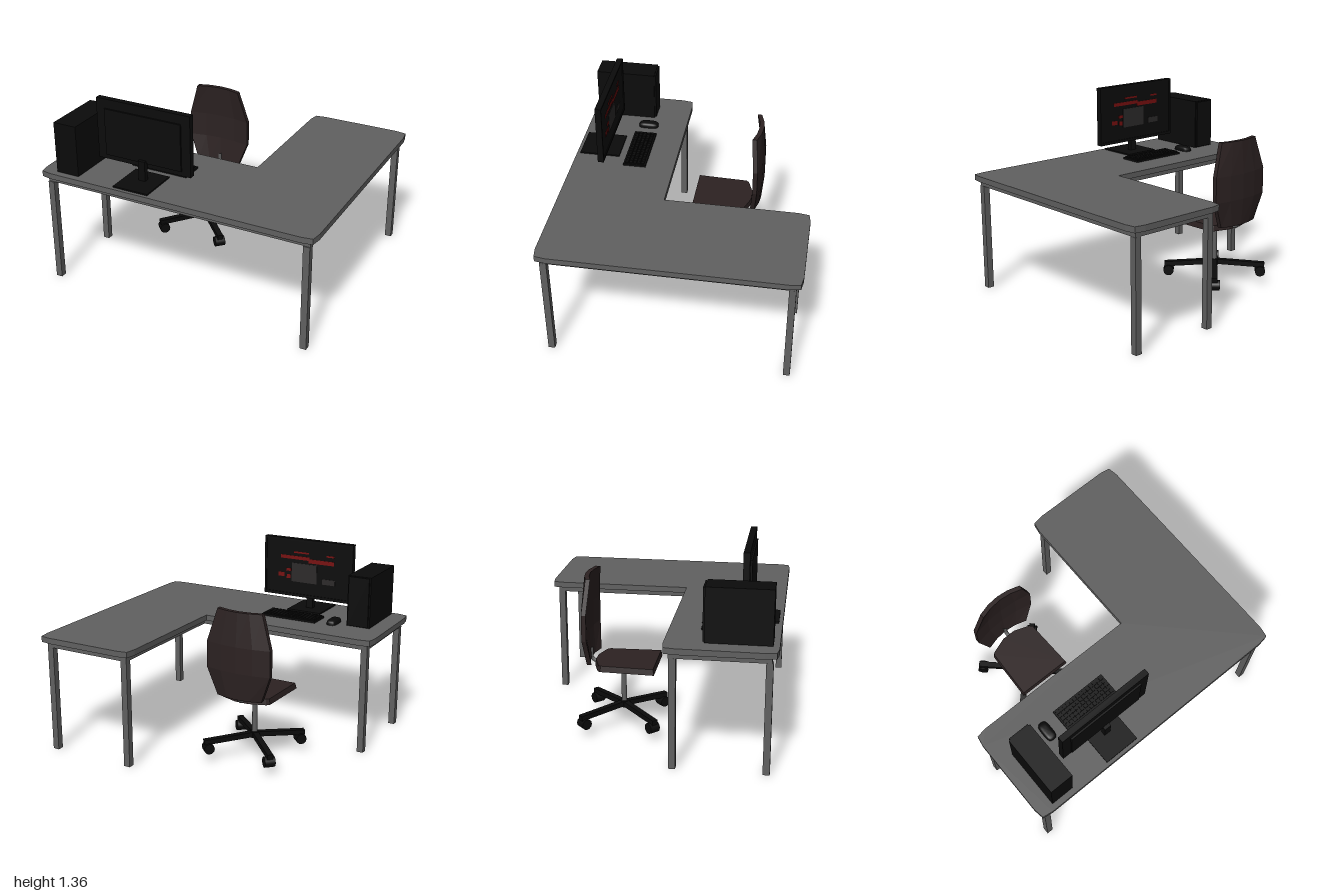
import * as THREE from 'three';

const mat = (name, color) => {
  const m = new THREE.MeshStandardMaterial({ color });
  m.name = name;
  return m;
};

export function createModel() {
  const root = new THREE.Group();
  const grey = mat('deskGrey', 0x606060);
  const black = mat('plasticBlack', 0x0b0b0b);
  const brown = mat('chairBrown', 0x2c2222);
  const red = mat('screenRed', 0x781010);
  const slate = mat('screenSlate', 0x2c2a2a);

  const add = (name, geo, material, parent = root) => {
    const m = new THREE.Mesh(geo, material);
    m.name = name;
    parent.add(m);
    return m;
  };
  // Box given by its minimum and maximum on each axis
  const box = (name, x0, x1, y0, y1, z0, z1, material, parent) => {
    const m = add(name, new THREE.BoxGeometry(x1 - x0, y1 - y0, z1 - z0), material, parent);
    m.position.set((x0 + x1) / 2, (y0 + y1) / 2, (z0 + z1) / 2);
    return m;
  };
  const group = (name) => {
    const g = new THREE.Group();
    g.name = name;
    root.add(g);
    return g;
  };
  // Horizontal slab from an outline in x and z, hanging down from a top height
  const slab = (shape, top, depth) =>
    new THREE.ExtrudeGeometry(shape, { depth, bevelEnabled: false }).rotateX(Math.PI / 2).translate(0, top, 0);

  // L-shaped outline, inset by i; outer corners softened by r
  const outline = (i, r) => {
    const c = [[-1 + i, 0.135 + i], [0.275 + i, 0.135 + i], [0.275 + i, -0.86 + i],
      [1 - i, -0.86 + i], [1 - i, 0.855 - i], [-1 + i, 0.855 - i]].map((p) => new THREE.Vector2(...p));
    const pts = [];
    c.forEach((p, k) => {
      if (k === 1 || !r) return pts.push(p);
      const a = c[(k + 5) % 6].clone().sub(p).normalize();
      const b = c[(k + 1) % 6].clone().sub(p).normalize();
      pts.push(p.clone().addScaledVector(a, r),
        p.clone().addScaledVector(a, r * 0.14).addScaledVector(b, r * 0.14),
        p.clone().addScaledVector(b, r));
    });
    return pts;
  };

  // Desk
  const desk = group('desk');
  add('deskTop', slab(new THREE.Shape(outline(0, 0.085)), 0.83, 0.04), grey, desk);
  const frame = new THREE.Shape(outline(0.04, 0));
  frame.holes.push(new THREE.Path(outline(0.085, 0)));
  add('deskFrame', slab(frame, 0.79, 0.04), grey, desk);
  for (const [x, z] of [[-0.938, 0.8], [-0.938, 0.2], [0.938, 0.8], [0.938, -0.798], [0.335, -0.798]])
    box('deskLeg', x - 0.0225, x + 0.0225, 0, 0.75, z - 0.0225, z + 0.0225, grey, desk);

  // Computer tower
  const tower = group('computerTower');
  box('towerCase', -0.885, -0.715, 0.835, 1.195, 0.39, 0.815, black, tower);
  box('towerFront', -0.875, -0.725, 0.84, 1.19, 0.378, 0.39, black, tower);
  for (const x of [-0.865, -0.755]) for (const z of [0.42, 0.76])
    box('towerFoot', x, x + 0.02, 0.828, 0.836, z, z + 0.02, black, tower);

  // Monitor, its screen facing the chair
  const monitor = group('monitor');
  box('monitorPanel', -0.655, 0.045, 0.925, 1.355, 0.609, 0.645, black, monitor);
  box('monitorBack', -0.59, -0.02, 0.96, 1.29, 0.644, 0.657, black, monitor);
  box('monitorNeck', -0.33, -0.28, 0.835, 0.98, 0.645, 0.68, black, monitor);
  box('monitorBase', -0.435, -0.175, 0.83, 0.84, 0.545, 0.83, black, monitor);
  // Bezel strips around the screen
  box('bezel', -0.655, 0.045, 1.34, 1.355, 0.603, 0.609, black, monitor);
  box('bezel', -0.655, 0.045, 0.925, 0.945, 0.603, 0.609, black, monitor);
  for (const x of [-0.655, 0.03]) box('bezel', x, x + 0.015, 0.945, 1.34, 0.603, 0.609, black, monitor);
  // Coloured patches on the screen: x, y, width, height
  const patch = (x, y, w, h, m) =>
    box('screenPatch', x - w / 2, x + w / 2, y - h / 2, y + h / 2, 0.606, 0.609, m, monitor);
  patch(-0.275, 1.105, 0.2, 0.14, slate);
  patch(-0.47, 1.06, 0.1, 0.04, slate);
  for (const [x, y, w, h] of [[-0.2, 1.215, 0.23, 0.025], [-0.41, 1.2, 0.2, 0.03], [-0.25, 1.255, 0.12, 0.012],
    [-0.09, 1.08, 0.05, 0.03], [-0.15, 1.12, 0.04, 0.02], [-0.15, 1.07, 0.03, 0.03], [-0.48, 1.25, 0.06, 0.012]])
    patch(x, y, w, h, red);

  // Keyboard with rows of keys
  const keyboard = group('keyboard');
  box('keyboardBody', -0.495, -0.075, 0.83, 0.844, 0.335, 0.495, black, keyboard);
  for (let r = 0; r < 5; r++) for (let k = 0; k < 14; k++) {
    const x = -0.485 + k * 0.0288, z = 0.347 + r * 0.028;
    box('key', x, x + 0.024, 0.844, 0.852, z, z + 0.023, black, keyboard);
  }

  // Mouse
  const mouse = add('mouse', new THREE.SphereGeometry(1, 16, 8, 0, Math.PI * 2, 0, Math.PI / 2), black);
  const mp = mouse.geometry.attributes.position;
  for (let i = 0; i < mp.count; i++) {
    const squash = (v) => Math.sign(v) * Math.pow(Math.abs(v), 0.6);
    mp.setXYZ(i, squash(mp.getX(i)) * 0.037, squash(mp.getY(i)) * 0.035, squash(mp.getZ(i)) * 0.072);
  }
  mouse.geometry.computeVertexNormals();
  mouse.position.set(-0.607, 0.83, 0.413);

  // Chair, built around its column
  const chair = group('chair');
  chair.position.set(-0.32, 0, -0.22);
  const seatShape = new THREE.Shape([[-0.197, 0.238], [0.197, 0.238], [0.183, -0.13], [0.165, -0.15],
    [0.05, -0.19], [-0.05, -0.19], [-0.165, -0.15], [-0.183, -0.13]].map((p) => new THREE.Vector2(...p)));
  const seat = slab(seatShape, 0.49, 0.04);
  const sp = seat.attributes.position;
  for (let i = 0; i < sp.count; i++)
    if (sp.getY(i) > 0.47) sp.setXYZ(i, sp.getX(i) * 0.96, 0.49, sp.getZ(i) * 0.97);
  seat.computeVertexNormals();
  add('seat', seat, brown, chair);

  // Backrest: a thin block shaped by rows of y, half width and edge z, its middle curved backward
  const rows = [[0.49, 0.165, -0.19], [0.68, 0.235, -0.207], [0.86, 0.235, -0.207], [1.09, 0.165, -0.187]];
  let back = new THREE.BoxGeometry(2, 3, 1, 4, 3, 1);
  const bp = back.attributes.position;
  for (let i = 0; i < bp.count; i++) {
    const [y, w, z] = rows[Math.round(bp.getY(i) + 1.5)];
    const u = bp.getX(i);
    bp.setXYZ(i, u * w, y, z - (bp.getZ(i) > 0 ? 0 : 0.032) - 0.032 * (1 - u * u));
  }
  back = back.toNonIndexed();
  back.computeVertexNormals();
  add('backrest', back, brown, chair);

  // Bent bar joining seat and backrest, and the column
  const bend = new THREE.CatmullRomCurve3([[0, 0.462, -0.1], [0, 0.462, -0.19], [0, 0.485, -0.222], [0, 0.56, -0.226]]
    .map((p) => new THREE.Vector3(...p)));
  add('backBar', new THREE.TubeGeometry(bend, 16, 0.014, 8), grey, chair);
  add('column', new THREE.CylinderGeometry(0.018, 0.018, 0.29, 16), grey, chair).position.y = 0.31;

  // Four sloping arms with casters
  add('hub', new THREE.CylinderGeometry(0.03, 0.03, 0.045, 12), black, chair).position.y = 0.157;
  for (let k = 0; k < 4; k++) {
    const arm = new THREE.Group();
    arm.name = 'chairArm';
    arm.rotation.y = Math.PI / 4 + k * Math.PI / 2;
    chair.add(arm);
    const bar = box('armBar', 0, 0.36, 0.13, 0.165, -0.02, 0.02, black, arm);
    bar.position.y = 0.148;
    bar.rotation.z = -0.07;
    add('casterStem', new THREE.CylinderGeometry(0.012, 0.012, 0.05, 8), black, arm).position.set(0.33, 0.115, 0);
    const wheel = add('caster', new THREE.CylinderGeometry(0.037, 0.037, 0.072, 12), black, arm);
    wheel.rotation.x = Math.PI / 2;
    wheel.position.set(0.33, 0.092, 0);
  }
  return root;
}
